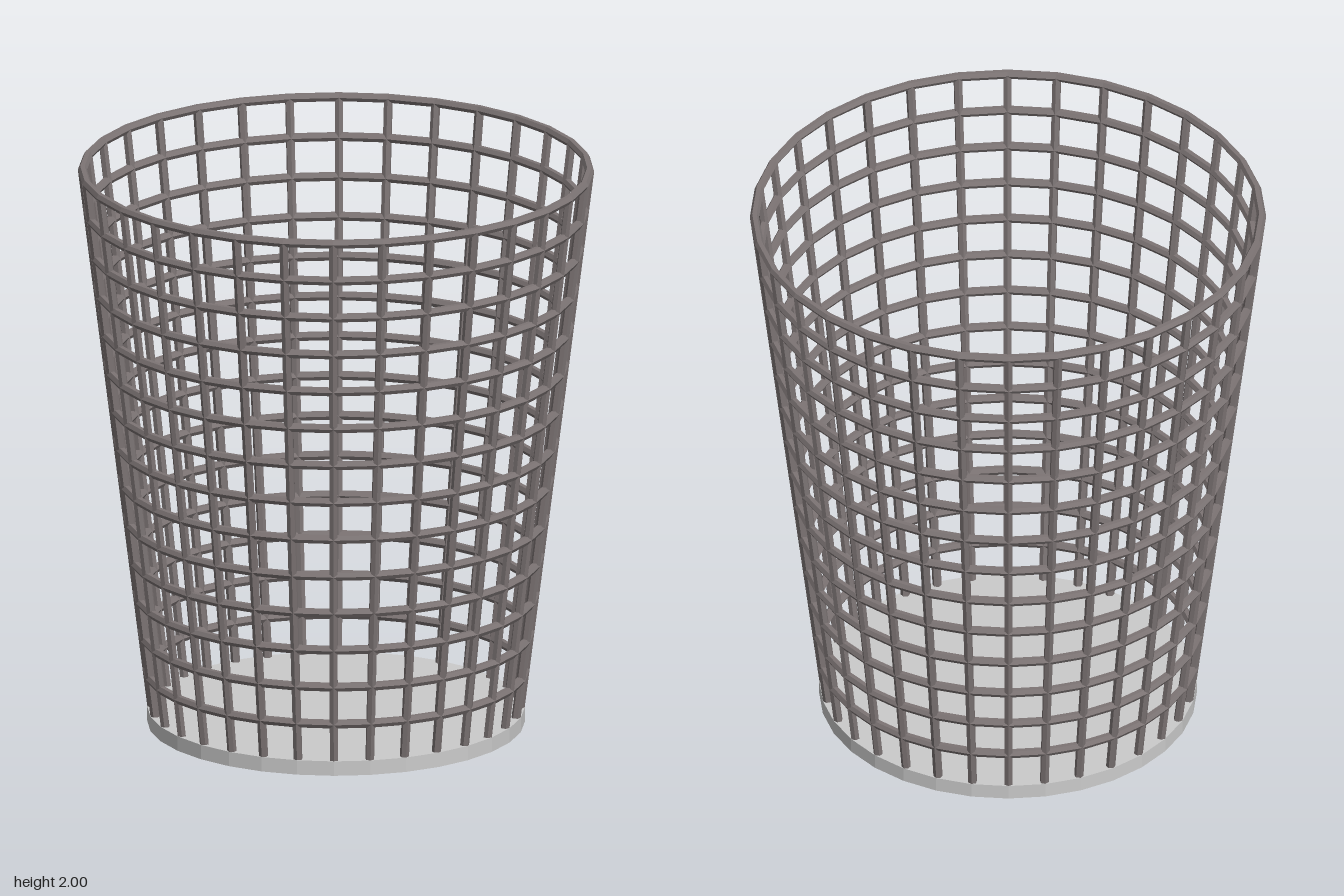
import * as THREE from 'three';

const SIDES = 32;      // facets around the basket
const RINGS = 14;
const WIRE = 0.016;    // wire radius
const TOP = 1.986, STEP = 0.1384, BOTTOM = 0.04;

// Wire centre radius at a given height: the wall flares upward
const wallRadius = (y) => 0.629 + 0.124 * y;

export function createModel() {
  const model = new THREE.Group();
  const wireMaterial = new THREE.MeshStandardMaterial({ color: 0x7d7575, flatShading: true });
  const baseMaterial = new THREE.MeshStandardMaterial({ color: 0xcccccc, flatShading: true });

  // Solid disc at the bottom
  const base = new THREE.Mesh(new THREE.CylinderGeometry(0.652, 0.652, 0.052, SIDES), baseMaterial);
  base.name = 'base';
  base.position.y = 0.026;
  model.add(base);

  // Horizontal hoops, the highest one forming the rim
  const hoops = new THREE.Group();
  hoops.name = 'hoops';
  for (let i = 0; i < RINGS; i++) {
    const y = TOP - i * STEP;
    const hoop = new THREE.Mesh(new THREE.TorusGeometry(wallRadius(y), WIRE, 6, SIDES), wireMaterial);
    hoop.name = i === 0 ? 'rim' : 'hoop';
    hoop.rotation.x = -Math.PI / 2;
    hoop.position.y = y;
    hoops.add(hoop);
  }
  model.add(hoops);

  // Upright wires leaning outward, one at every hoop corner
  const uprights = new THREE.Group();
  uprights.name = 'uprights';
  const rise = TOP - BOTTOM;
  const run = wallRadius(TOP) - wallRadius(BOTTOM);
  const midY = (TOP + BOTTOM) / 2;
  const midR = wallRadius(midY);
  const uprightGeometry = new THREE.CylinderGeometry(WIRE, WIRE, Math.hypot(rise, run), 6);
  for (let i = 0; i < SIDES; i++) {
    const a = (i / SIDES) * Math.PI * 2;
    const upright = new THREE.Mesh(uprightGeometry, wireMaterial);
    upright.name = 'upright';
    upright.rotation.set(Math.atan2(run, rise), a, 0, 'YXZ');
    upright.position.set(Math.sin(a) * midR, midY, Math.cos(a) * midR);
    uprights.add(upright);
  }
  model.add(uprights);

  return model;
}
